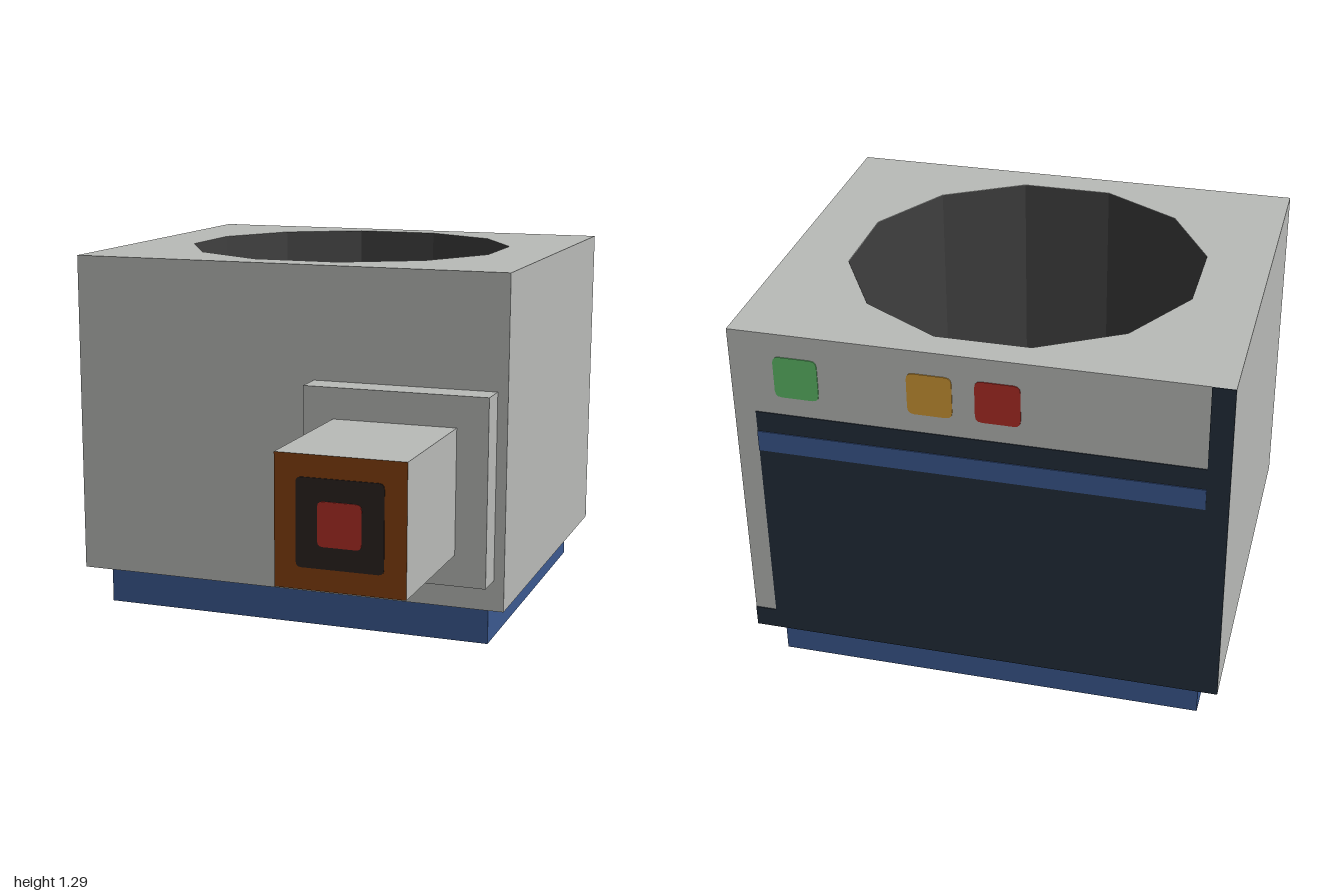
import * as THREE from 'three';

const U = 1 / 14; // design unit: the model is 28 units long
const SKIN = 0.003; // thickness of painted plates

function mat(name, color, side = THREE.FrontSide) {
  const m = new THREE.MeshStandardMaterial({ color, side });
  m.name = name;
  return m;
}

function roundedSquare(cx, cy, w, h, r) {
  const s = new THREE.Shape();
  const x = cx - w / 2, y = cy - h / 2;
  s.moveTo(x + r, y);
  s.lineTo(x + w - r, y);
  s.quadraticCurveTo(x + w, y, x + w, y + r);
  s.lineTo(x + w, y + h - r);
  s.quadraticCurveTo(x + w, y + h, x + w - r, y + h);
  s.lineTo(x + r, y + h);
  s.quadraticCurveTo(x, y + h, x, y + h - r);
  s.lineTo(x, y + r);
  s.quadraticCurveTo(x, y, x + r, y);
  return s;
}

export function createModel() {
  const model = new THREE.Group();
  const grey = mat('casingGrey', 0xb9bbb8);
  const blue = mat('baseBlue', 0x3b5990);
  const navy = mat('panelNavy', 0x232d3a);
  const pit = mat('cavityDark', 0x404040, THREE.DoubleSide);
  const copper = mat('copper', 0x84400f);
  const soot = mat('portDark', 0x2c2220);
  const red = mat('red', 0xb02e26);
  const green = mat('lampGreen', 0x5ebb68);
  const amber = mat('lampAmber', 0xd09836);

  const add = (name, geometry, material) => {
    const mesh = new THREE.Mesh(geometry, material);
    mesh.name = name;
    model.add(mesh);
    return mesh;
  };
  // Box given by its lower and upper corners
  const box = (name, material, a, b) => {
    const g = new THREE.BoxGeometry(b[0] - a[0], b[1] - a[1], b[2] - a[2]);
    g.translate((a[0] + b[0]) / 2, (a[1] + b[1]) / 2, (a[2] + b[2]) / 2);
    return add(name, g, material);
  };

  const left = 11 * U, bottom = 2 * U, top = 18 * U;
  const back = -1 + 2 * SKIN, front = 5 * U;
  const holeZ = -4.5 * U, holeR = 0.59;

  // Base plinth
  box('base', blue, [-10 * U, 0, -13 * U], [10 * U, bottom, 4 * U]);

  // Casing with a twelve-sided well open at the top
  const outline = new THREE.Shape([
    new THREE.Vector2(-left, -front), new THREE.Vector2(left, -front),
    new THREE.Vector2(left, -back), new THREE.Vector2(-left, -back),
  ]);
  const ring = [];
  for (let i = 0; i < 12; i++) {
    const a = Math.PI / 12 + (i * Math.PI) / 6;
    ring.push(new THREE.Vector2((holeR + 0.001) * Math.cos(a), -holeZ + (holeR + 0.001) * Math.sin(a)));
  }
  outline.holes.push(new THREE.Path(ring.reverse()));
  const casing = new THREE.ExtrudeGeometry(outline, { depth: top - bottom, bevelEnabled: false });
  casing.rotateX(-Math.PI / 2).translate(0, bottom, 0);
  add('casing', casing, grey);

  // Dark lining and floor of the well
  const floorY = 3 * U;
  let lining = new THREE.CylinderGeometry(holeR, holeR, top - floorY, 12, 1, true, Math.PI / 12);
  lining = lining.toNonIndexed();
  lining.computeVertexNormals();
  add('wellLining', lining, pit).position.set(0, (top + floorY) / 2 - 0.001, holeZ);
  const floor = new THREE.CircleGeometry(holeR, 12, Math.PI / 12).rotateX(-Math.PI / 2);
  add('wellFloor', floor, pit).position.set(0, floorY, holeZ);

  // Flange and square spout, with a copper end face
  const sx = 6 * U, sy = 8 * U, tip = 1 - 2 * SKIN;
  box('spoutFlange', grey, [sx - 4.5 * U, sy - 4.5 * U, front], [sx + 4.5 * U, sy + 4.5 * U, 6.5 * U]);
  box('spout', [grey, grey, grey, grey, copper, grey],
    [sx - 3 * U, sy - 3 * U, 6.5 * U], [sx + 3 * U, sy + 3 * U, tip]);
  const port = (name, size, material, z) => {
    const g = new THREE.ExtrudeGeometry(roundedSquare(sx, sy, size, size, 0.018),
      { depth: SKIN, bevelEnabled: false, curveSegments: 3 });
    add(name, g.translate(0, 0, z), material);
  };
  port('spoutPort', 4 * U, soot, tip);
  port('spoutCore', 2 * U, red, tip + SKIN);

  // Back panel plates: u runs from the model's left, v down from the top, in units
  const plate = (name, material, u0, u1, v0, v1, layer = 0) => {
    const z = back - layer * SKIN;
    return box(name, material, [left - u1 * U, top - v1 * U, z - SKIN], [left - u0 * U, top - v0 * U, z]);
  };
  plate('backPanel', navy, 1, 21, 4, 15);
  plate('backPanelSide', navy, 21, 22, 0, 15);
  plate('backPanelFoot', navy, 0, 22, 15, 16);
  plate('backStripe', blue, 1, 21, 5, 6, 1);

  // Indicator lamps
  [['greenLamp', green, 3], ['amberLamp', amber, 9], ['redLamp', red, 12]].forEach(([name, material, u]) => {
    const g = new THREE.ExtrudeGeometry(
      roundedSquare(left - u * U, top - 2.1 * U, 2 * U, 2 * U, 0.022),
      { depth: SKIN, bevelEnabled: false, curveSegments: 3 });
    add(name, g.translate(0, 0, back - SKIN), material);
  });

  return model;
}
